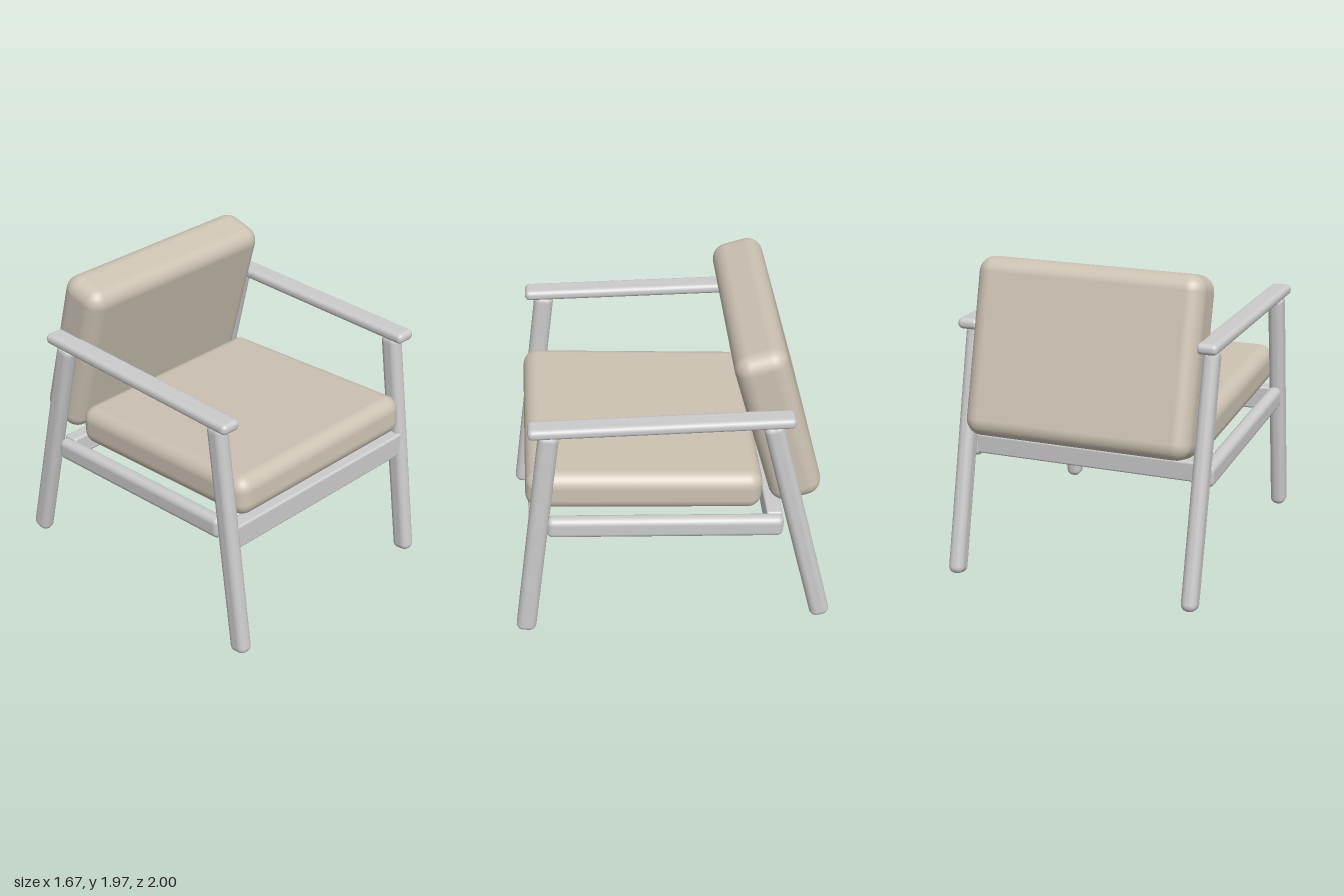
import * as THREE from 'three';
import { RoundedBoxGeometry } from 'three/addons/geometries/RoundedBoxGeometry.js';

const frame = new THREE.MeshStandardMaterial({ color: 0xcccccc });
const fabric = new THREE.MeshStandardMaterial({ color: 0xccc2b3 });

// Rounded block, centred on a position and tilted about x
function block(name, material, [w, h, d], radius, [x, y, z], tilt = 0) {
  const mesh = new THREE.Mesh(new RoundedBoxGeometry(w, h, d, 5, radius), material);
  mesh.name = name;
  mesh.position.set(x, y, z);
  mesh.rotation.x = tilt;
  return mesh;
}

// Slanted leg between a foot and a top point, both given as [y, z]
function leg(name, x, [y0, z0], [y1, z1]) {
  const length = Math.hypot(y1 - y0, z1 - z0);
  const tilt = Math.atan2(z1 - z0, y1 - y0);
  return block(name, frame, [0.1, length, 0.125], 0.045, [x, (y0 + y1) / 2, (z0 + z1) / 2], tilt);
}

export function createModel() {
  const chair = new THREE.Group();
  chair.name = 'armchair';

  // Legs, side rail and armrest, mirrored on both sides
  for (const [side, s] of [['left', 1], ['right', -1]]) {
    const x = s * 0.77;
    chair.add(
      leg(`${side}FrontLeg`, x, [0.005, 0.944], [1.54, 0.735]),
      leg(`${side}BackLeg`, x, [0.005, -0.948], [1.535, -0.585]),
      block(`${side}SideRail`, frame, [0.09, 0.14, 1.46], 0.04, [x, 0.795, 0.05], -0.052),
      block(`${side}Armrest`, frame, [0.135, 0.068, 1.58], 0.03, [x, 1.56, 0.07]),
    );
  }

  // Cross rails
  chair.add(
    block('frontRail', frame, [1.53, 0.16, 0.1], 0.015, [0, 0.8, 0.836]),
    block('backRail', frame, [1.52, 0.13, 0.1], 0.015, [0, 0.78, -0.622], -0.052),
  );

  // Cushions
  chair.add(
    block('seatCushion', fabric, [1.455, 0.258, 1.455], 0.09, [0, 1.0, 0.17], -0.06),
    block('backCushion', fabric, [1.455, 1.1, 0.325], 0.1, [0, 1.42, -0.64], 0.26),
  );
  return chair;
}
